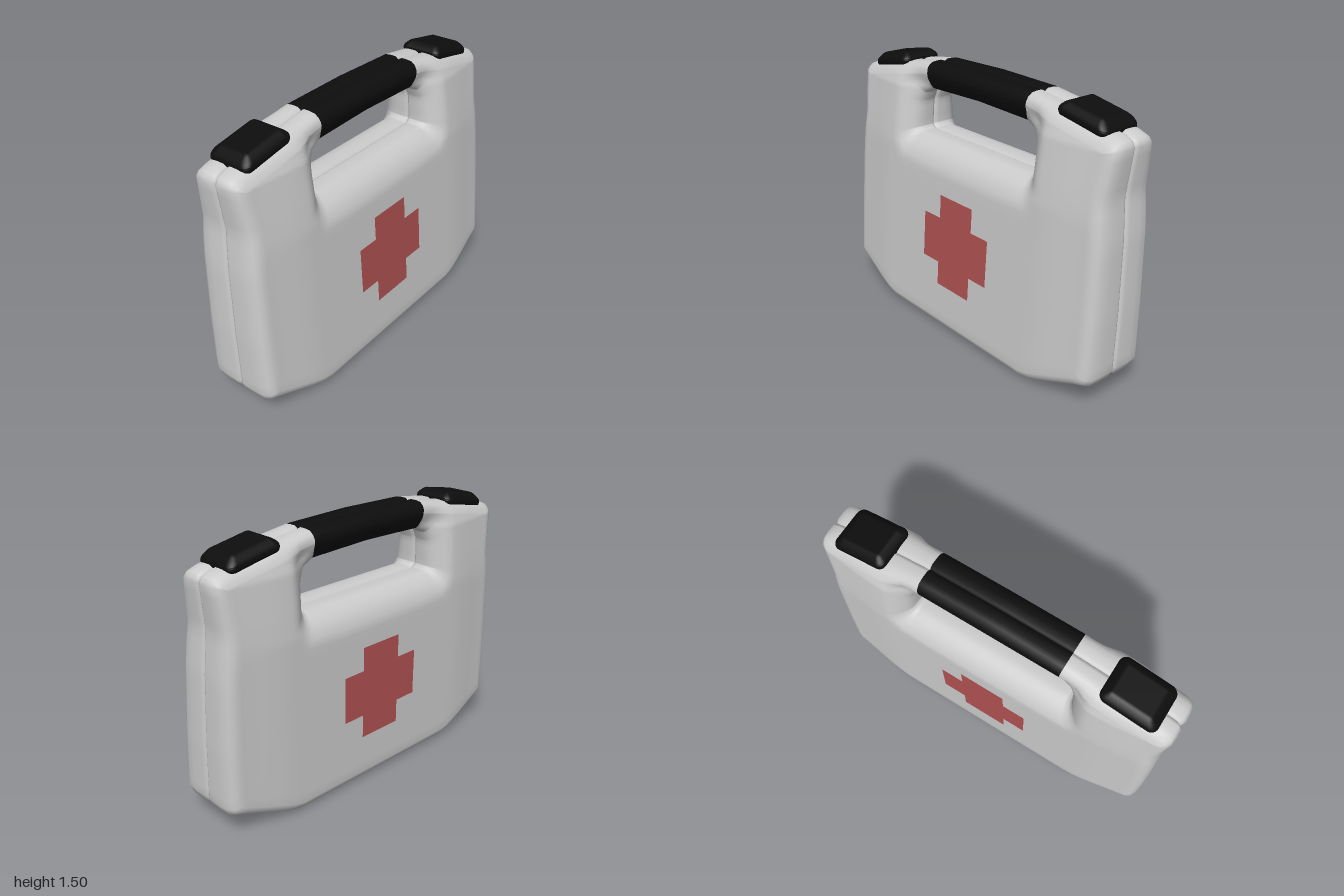
import * as THREE from 'three';
import { RoundedBoxGeometry } from 'three/addons/geometries/RoundedBoxGeometry.js';

const shellMat = new THREE.MeshStandardMaterial({ color: 0xcccccc });
shellMat.name = 'light grey plastic';
const blackMat = new THREE.MeshStandardMaterial({ color: 0x0d0d0d });
blackMat.name = 'black rubber';
const redMat = new THREE.MeshStandardMaterial({ color: 0xb15252 });
redMat.name = 'red';

// Paired points, top centre to bottom centre: case outline x, y and handle opening x, y
const KEYS = [
  [0, 1.495, 0, 1.345], [0.4, 1.485, 0.38, 1.335], [0.6, 1.455, 0.44, 1.305],
  [0.93, 1.395, 0.465, 1.25], [0.98, 1.375, 0.468, 1.235], [0.998, 1.34, 0.47, 1.22],
  [0.972, 1.1, 0.475, 1.13], [0.99, 0.88, 0.475, 1.1], [1, 0.5, 0.465, 1.087],
  [1, 0.19, 0.45, 1.08], [0.98, 0.145, 0.435, 1.08], [0.63, 0.015, 0.28, 1.08],
  [0.56, 0, 0.24, 1.08], [0, 0, 0, 1.08],
];
// Edge rounding: inset, fixed height, share of the full half depth
const EDGE = [
  [0.018, 0, 0], [0.007, 0.008, 0], [0, 0.022, 0], [0, 0, 0.5],
  [0.004, 0, 0.75], [0.02, 0, 0.9], [0.04, 0, 0.97], [0.062, 0, 1],
];
// Half depth of the case by height
const DEPTH = [[0, 0.24], [0.06, 0.24], [1, 0.212], [1.12, 0.2], [1.33, 0.175], [1.4, 0.15], [1.46, 0.122], [1.5, 0.11]];

const smooth = (t) => THREE.MathUtils.smoothstep(t, 0, 1);
const lean = (y) => 0.005 - 0.04 * y;

function baseDepth(y) {
  for (let i = 1; i < DEPTH.length; i++) {
    const [y0, d0] = DEPTH[i - 1], [y1, d1] = DEPTH[i];
    if (y <= y1) return d0 + (d1 - d0) * Math.max(0, (y - y0) / (y1 - y0));
  }
  return 0.11;
}

// Thinner towards the sides and around the handle opening
function halfDepth(x, y) {
  const dx = Math.max(0, Math.abs(x) - 0.46), dy = Math.max(0, Math.abs(y - 1.21) - 0.13);
  return baseDepth(y) - 0.03 * smooth((Math.abs(x) - 0.6) / 0.4)
    - 0.06 * (1 - smooth(Math.hypot(dx, dy) / 0.13));
}

// Mitred normal at each point of a clockwise loop, pointing inwards
function loopNormals(pts) {
  const n = pts.length;
  return pts.map((p, i) => {
    const a = p.clone().sub(pts[(i + n - 1) % n]).normalize();
    const b = pts[(i + 1) % n].clone().sub(p).normalize();
    const m = new THREE.Vector2(a.y + b.y, -a.x - b.x).normalize();
    return m.divideScalar(Math.max(0.6, m.x * a.y - m.y * a.x));
  });
}

// Columns around the case, each with outline, opening and their inset directions
function makeColumns() {
  const left = KEYS.slice(1, -1).reverse().map(([a, b, c, d]) => [-a, b, -c, d]);
  const keys = [...KEYS, ...left];
  const outer = keys.map((k) => new THREE.Vector2(k[0], k[1]));
  const hole = keys.map((k) => new THREE.Vector2(k[2], k[3]));
  const outerN = loopNormals(outer);
  const holeN = loopNormals(hole).map((v) => v.negate());
  const columns = [];
  keys.forEach((_, i) => {
    const j = (i + 1) % keys.length;
    const steps = Math.max(2, Math.ceil(outer[i].distanceTo(outer[j]) / 0.06));
    for (let s = 0; s < steps; s++) {
      const mix = (list) => list[i].clone().lerp(list[j], s / steps);
      columns.push({
        o: mix(outer), on: mix(outerN), h: mix(hole), hn: mix(holeN),
        grip: i === 0 || i === keys.length - 1,
      });
    }
  });
  return columns;
}

// One half shell: outer edge, face, then edge of the opening
function halfShell(side) {
  const columns = makeColumns(), pos = [], grey = [], black = [];
  const FACE = 18, rows = EDGE.length * 2 + FACE - 1;
  const add = (p, fixed, share) => {
    const z = fixed + share * halfDepth(p.x, p.y);
    pos.push(p.x, p.y, side * z + lean(p.y));
  };
  for (const c of columns) {
    const at = (p, n, d) => p.clone().addScaledVector(n, d);
    for (const [d, f, s] of EDGE) add(at(c.o, c.on, d), f, s);
    const a = at(c.o, c.on, 0.062), b = at(c.h, c.hn, 0.062);
    for (let k = 1; k < FACE; k++) add(a.clone().lerp(b, k / FACE), 0, 1);
    for (const [d, f, s] of [...EDGE].reverse()) add(at(c.h, c.hn, d), f, s);
  }
  columns.forEach((c, i) => {
    const next = (i + 1) % columns.length, list = c.grip ? black : grey;
    for (let j = 0; j < rows - 1; j++) {
      const p = i * rows + j, q = next * rows + j;
      if (side > 0) list.push(p, p + 1, q + 1, p, q + 1, q);
      else list.push(p, q + 1, p + 1, p, q, q + 1);
    }
  });
  const geo = new THREE.BufferGeometry();
  geo.setAttribute('position', new THREE.Float32BufferAttribute(pos, 3));
  geo.setIndex([...grey, ...black]);
  geo.addGroup(0, grey.length, 0);
  geo.addGroup(grey.length, black.length, 1);
  geo.computeVertexNormals();
  return new THREE.Mesh(geo, [shellMat, blackMat]);
}

// Flat cross laid on the face
function crossPlate(side) {
  const a = 0.133, b = 0.267;
  const pts = [[-a, -b], [a, -b], [a, -a], [b, -a], [b, a], [a, a], [a, b], [-a, b], [-a, a], [-b, a], [-b, -a], [-a, -a]];
  const geo = new THREE.ShapeGeometry(new THREE.Shape(pts.map(([x, y]) => new THREE.Vector2(x, y))));
  if (side < 0) geo.rotateY(Math.PI);
  geo.translate(0, 0.552, 0);
  const p = geo.attributes.position;
  for (let i = 0; i < p.count; i++) {
    const y = p.getY(i);
    p.setZ(i, side * (baseDepth(y) + 0.004) + lean(y));
  }
  geo.computeVertexNormals();
  return new THREE.Mesh(geo, redMat);
}

// Rubber pad following the sloping shoulder, narrower on top
function shoulderPad(side) {
  const geo = new RoundedBoxGeometry(0.31, 0.09, 0.25, 5, 0.04);
  const p = geo.attributes.position;
  for (let i = 0; i < p.count; i++) {
    const t = smooth((p.getY(i) + 0.005) / 0.05);
    const x = p.getX(i) * (1 - 0.14 * t);
    p.setXYZ(i, x, p.getY(i) - side * x * 0.18, p.getZ(i) * (1 - 0.14 * t));
  }
  geo.computeVertexNormals();
  const mesh = new THREE.Mesh(geo, blackMat);
  mesh.position.set(side * 0.75, 1.433, lean(1.433));
  return mesh;
}

export function createModel() {
  const model = new THREE.Group();
  model.name = 'firstAidCase';
  const add = (name, mesh) => { mesh.name = name; model.add(mesh); };
  for (const side of [1, -1]) {
    add(side > 0 ? 'frontShell' : 'backShell', halfShell(side));
    add(side > 0 ? 'frontCross' : 'backCross', crossPlate(side));
    add(side > 0 ? 'leftPad' : 'rightPad', shoulderPad(side));
  }
  return model;
}
